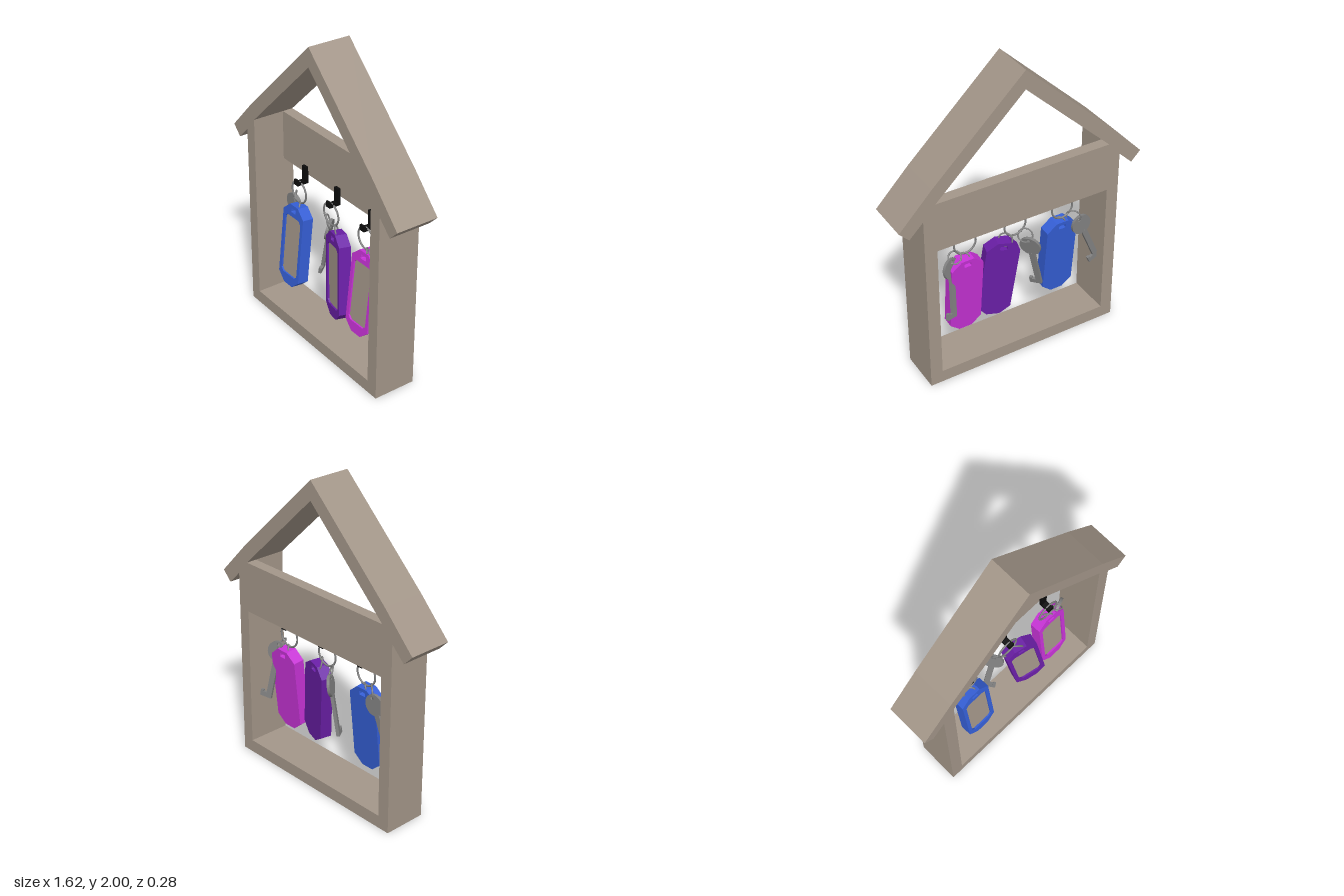
import * as THREE from 'three';

const mat = (name, color) => {
  const m = new THREE.MeshStandardMaterial({ color });
  m.name = name;
  return m;
};

export function createModel() {
  const wood = mat('wood', 0xa39689);
  const black = mat('black hook', 0x0c0c0c);
  const metal = mat('grey metal', 0x808080);
  const blue = mat('blue plastic', 0x355fd6);
  const purple = mat('purple plastic', 0x6a1fa6);
  const magenta = mat('magenta plastic', 0xc733d6);
  const root = new THREE.Group();
  root.name = 'keyHouse';

  const V = (x, y, z) => new THREE.Vector3(x, y, z);
  const add = (parent, name, geo, material, x = 0, y = 0, z = 0) => {
    const m = new THREE.Mesh(geo, material);
    m.name = name;
    m.position.set(x, y, z);
    parent.add(m);
    return m;
  };
  const box = (parent, name, w, h, d, material, x, y, z) =>
    add(parent, name, new THREE.BoxGeometry(w, h, d), material, x, y, z);
  const outline = (pts) => pts.map(([x, y]) => new THREE.Vector2(x, y));
  const extrude = (shape, depth) =>
    new THREE.ExtrudeGeometry(shape, { depth, bevelEnabled: false, curveSegments: 16 });

  // House frame: floor, walls, back board and roof
  const D = 0.28;
  box(root, 'floor', 1.32, 0.083, D, wood, 0, 0.0415, 0);
  for (const s of [-1, 1]) {
    const name = s > 0 ? 'left' : 'right';
    const wall = new THREE.Shape(outline([
      [s * 0.58, 0.083], [s * 0.66, 0.083], [s * 0.66, 1.235], [s * 0.58, 1.327]]));
    add(root, name + 'Wall', extrude(wall, D), wood, 0, 0, -D / 2);
    const roof = new THREE.Shape(outline([
      [0, 2], [s * 0.598, 1.432], [s * 0.812, 1.21], [s * 0.75, 1.147],
      [s * 0.66, 1.235], [s * 0.58, 1.327], [0, 1.878]]));
    add(root, name + 'Roof', extrude(roof, D), wood, 0, 0, -D / 2);
  }
  box(root, 'hookBoard', 1.16, 0.325, 0.07, wood, 0, 1.1645, -0.105);

  // Octagonal plate outline, cut by cx, cy at each corner
  const octagon = (hx, y0, y1, cx, cy) => outline([
    [-hx + cx, y0], [hx - cx, y0], [hx, y0 + cy], [hx, y1 - cy],
    [hx - cx, y1], [-hx + cx, y1], [-hx, y1 - cy], [-hx, y0 + cy]]);
  const slot = () => new THREE.Path(octagon(0.024, 0.228, 0.255, 0.004, 0.004));
  const T = 0.075, RIM = 0.014;

  // Name tag with raised rim and paper window
  function makeTag(material) {
    const g = new THREE.Group();
    g.name = 'tag';
    const edge = () => new THREE.Shape(octagon(0.106, -0.278, 0.278, 0.064, 0.056));
    const body = edge();
    body.holes.push(slot());
    add(g, 'tagBody', extrude(body, T - RIM), material, 0, 0, -T / 2);
    const rim = edge();
    const win = () => octagon(0.081, -0.21, 0.2, 0.022, 0.022);
    rim.holes.push(slot(), new THREE.Path(win()));
    add(g, 'tagRim', extrude(rim, RIM), material, 0, 0, T / 2 - RIM);
    add(g, 'tagPaper', extrude(new THREE.Shape(win()), 0.003), wood, 0, 0, T / 2 - RIM);
    return g;
  }

  // Key with round bow, stem and bit
  function makeKey() {
    const g = new THREE.Group();
    g.name = 'key';
    const bow = new THREE.Shape();
    bow.absarc(0, 0, 0.067, 0, Math.PI * 2);
    const hole = new THREE.Path();
    hole.absarc(0, 0.045, 0.012, 0, Math.PI * 2, true);
    bow.holes.push(hole);
    add(g, 'keyBow', extrude(bow, 0.018), metal, 0, 0, -0.009);
    const stem = new THREE.Shape(outline([
      [-0.018, -0.055], [-0.018, -0.32], [0.06, -0.32], [0.06, -0.28],
      [0.042, -0.28], [0.042, -0.29], [0.018, -0.29], [0.018, -0.055]]));
    add(g, 'keyStem', extrude(stem, 0.02), metal, 0, 0, -0.01);
    return g;
  }

  // Small ring joining two points
  function link(parent, a, b) {
    const x = b.clone().sub(a);
    const r = x.length() / 2 + 0.006;
    x.normalize();
    const z = x.clone().cross(V(0.75, 0, 0.65)).normalize();
    const m = add(parent, 'link', new THREE.TorusGeometry(r, 0.005, 8, 20), metal);
    m.quaternion.setFromRotationMatrix(new THREE.Matrix4().makeBasis(x, z.clone().cross(x), z));
    m.position.copy(a).add(b).multiplyScalar(0.5);
  }

  const sets = [
    { name: 'blueSet', hook: -0.333, ring: -0.34, color: blue,
      tag: [-0.331, 0.522, 0.018], tagRot: [-0.1, 0, 0],
      key: [-0.455, 0.743, -0.06], keyRot: [0, 0.05, -0.4] },
    { name: 'purpleSet', hook: 0, ring: -0.006, color: purple,
      tag: [0.106, 0.525, 0.008], tagRot: [-0.08, -0.24, 0.135],
      key: [-0.087, 0.725, -0.065], keyRot: [0, -0.95, -0.22] },
    { name: 'magentaSet', hook: 0.333, ring: 0.337, color: magenta,
      tag: [0.347, 0.522, -0.008], tagRot: [-0.1, 0, 0],
      key: [0.438, 0.743, -0.03], keyRot: [0.2, 0.35, 0.15] },
  ];

  for (const s of sets) {
    const g = new THREE.Group();
    g.name = s.name;
    root.add(g);

    // Hook: back plate, forward arm and upturned lip
    box(g, 'hookPlate', 0.04, 0.11, 0.02, black, s.hook, 1.0, -0.06);
    box(g, 'hookArm', 0.04, 0.018, 0.075, black, s.hook, 0.952, -0.0325);
    box(g, 'hookLip', 0.04, 0.036, 0.014, black, s.hook, 0.961, 0.002);

    // Split ring
    const ringZ = -0.02;
    add(g, 'ring', new THREE.TorusGeometry(0.073, 0.006, 10, 40), metal, s.ring, 0.885, ringZ);

    const hang = (part, pos, rot, eye) => {
      part.position.set(...pos);
      part.rotation.set(rot[0], rot[1], rot[2], 'ZYX');
      part.updateMatrix();
      g.add(part);
      const end = V(0, eye, 0).applyMatrix4(part.matrix);
      const side = THREE.MathUtils.clamp(end.x - s.ring, -0.045, 0.045);
      link(g, V(s.ring + side, 0.885 - Math.sqrt(0.073 ** 2 - side ** 2), ringZ), end);
    };
    hang(makeTag(s.color), s.tag, s.tagRot, 0.243);
    hang(makeKey(), s.key, s.keyRot, 0.045);
  }
  return root;
}
